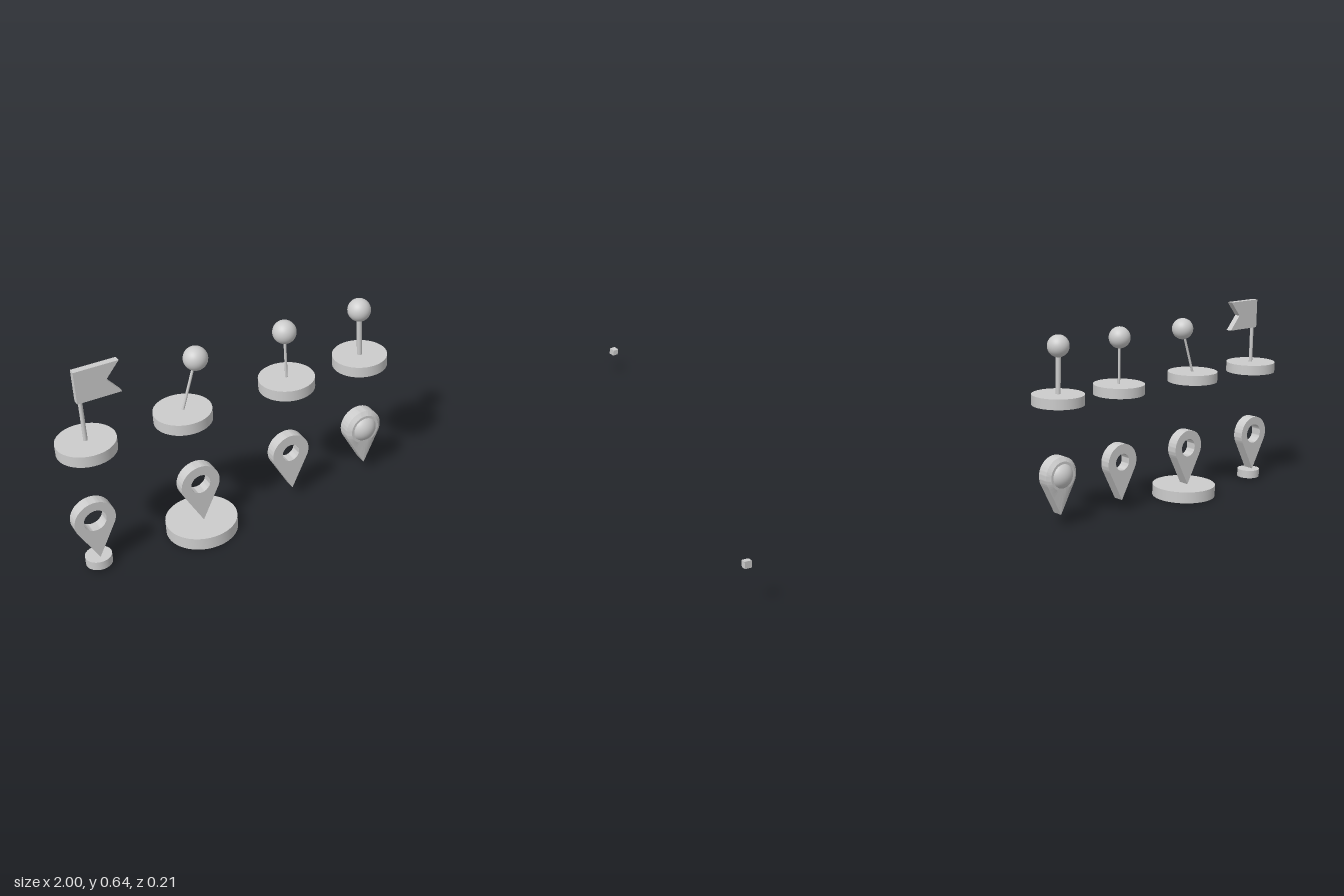
import * as THREE from 'three';
import { toCreasedNormals } from 'three/addons/utils/BufferGeometryUtils.js';

const material = new THREE.MeshStandardMaterial({ color: 0xcccccc });
const HEAD_Y = 0.168, HEAD_R = 0.06, TIP_DROP = 0.128, HALF = 0.018, SEG = 90;

function add(parent, name, geometry, x = 0, y = 0, z = 0) {
  const mesh = new THREE.Mesh(geometry, material);
  mesh.name = name;
  mesh.position.set(x, y, z);
  parent.add(mesh);
  return mesh;
}

function group(parent, name, x) {
  const g = new THREE.Group();
  g.name = name;
  g.position.x = x;
  parent.add(g);
  return g;
}

function disc(parent, name, r, y0, y1) {
  return add(parent, name, new THREE.CylinderGeometry(r, r, y1 - y0, 64), 0, (y0 + y1) / 2);
}

// Round rod between two points in the xy plane
function rod(parent, name, r, x0, y0, x1, y1) {
  const length = Math.hypot(x1 - x0, y1 - y0);
  const mesh = add(parent, name, new THREE.CylinderGeometry(r, r, length, 24), (x0 + x1) / 2, (y0 + y1) / 2);
  mesh.rotation.z = -Math.atan2(x1 - x0, y1 - y0);
}

// Teardrop outline: a circle whose two tangents meet at the tip below
function teardrop(i) {
  const a = -Math.PI / 2 + (i / SEG) * Math.PI * 2;
  const spread = Math.acos(HEAD_R / TIP_DROP);
  const fromTip = Math.min(i, SEG - i) / SEG * Math.PI * 2;
  const r = fromTip < spread ? HEAD_R / Math.cos(spread - fromTip) : HEAD_R;
  return new THREE.Vector2(Math.cos(a) * r, Math.sin(a) * r);
}

const outline = Array.from({ length: SEG }, (_, i) => teardrop(i));

// Flat teardrop plate with a round eye
function ringMarker(parent, holeR) {
  const shape = new THREE.Shape(outline);
  const hole = new THREE.Path();
  hole.absarc(0, 0, holeR, 0, Math.PI * 2, true);
  shape.holes.push(hole);
  const geo = new THREE.ExtrudeGeometry(shape, { depth: HALF * 2, bevelEnabled: false, curveSegments: 32 });
  geo.translate(0, 0, -HALF);
  add(parent, 'marker', toCreasedNormals(geo, 0.6), 0, HEAD_Y);
}

// Solid teardrop whose sides slope up to a raised round face on front and back
function bevelledMarker(parent) {
  const faceR = 0.047, faceZ = 0.028;
  const positions = [], index = [];
  const sections = [[0, faceZ], [faceR, faceZ], [null, HALF], [null, -HALF], [faceR, -faceZ], [0, -faceZ]];
  for (const [r, z] of sections) {
    for (const p of outline) {
      const q = r === null ? p : p.clone().setLength(r);
      positions.push(q.x, q.y, z);
    }
  }
  for (let s = 0; s < sections.length - 1; s++) {
    for (let i = 0; i < SEG; i++) {
      const j = (i + 1) % SEG;
      const a = s * SEG + i, b = s * SEG + j, c = a + SEG, d = b + SEG;
      if (s > 0) index.push(a, c, b);
      if (s < sections.length - 2) index.push(b, c, d);
      if (s === 0) index.push(a, c, d);
      if (s === sections.length - 2) index.push(a, c, b);
    }
  }
  const geo = new THREE.BufferGeometry();
  geo.setAttribute('position', new THREE.Float32BufferAttribute(positions, 3));
  geo.setIndex(index);
  add(parent, 'marker', toCreasedNormals(geo, 0.4), 0, HEAD_Y);
}

export function createModel() {
  const model = new THREE.Group();
  model.name = 'mapPinSet';

  // Upper row: flag on a pole
  const flag = group(model, 'flagPin', -0.917);
  disc(flag, 'base', 0.083, 0.392, 0.425);
  rod(flag, 'pole', 0.006, 0, 0.42, 0, 0.635);
  const banner = new THREE.Shape([
    [-0.011, 0.546], [0.115, 0.546], [0.075, 0.594], [0.115, 0.642], [-0.011, 0.642],
  ].map(([x, y]) => new THREE.Vector2(x, y)));
  add(flag, 'banner', new THREE.ExtrudeGeometry(banner, { depth: 0.02, bevelEnabled: false }), 0, 0, -0.01);

  // Upper row: ball-headed pins, the first one leaning
  for (const [name, x, headX, r] of [
    ['leaningPin', -0.634, 0.052, 0.004],
    ['thinPin', -0.305, 0, 0.004],
    ['thickPin', -0.056, 0, 0.008],
  ]) {
    const pin = group(model, name, x);
    disc(pin, 'base', 0.083, 0.392, 0.425);
    rod(pin, 'stem', r, 0, 0.42, headX, 0.574);
    add(pin, 'head', new THREE.SphereGeometry(0.035, 32, 24), headX, 0.574);
  }

  // Lower row: teardrop markers with an eye
  const small = group(model, 'smallBaseMarker', -0.928);
  ringMarker(small, 0.033);
  disc(small, 'base', 0.038, 0.01, 0.037);

  const wide = group(model, 'wideBaseMarker', -0.607);
  ringMarker(wide, 0.03);
  disc(wide, 'base', 0.106, 0, 0.038);

  ringMarker(group(model, 'plainMarker', -0.31), 0.028);

  // Lower row: bevelled marker with a ball set in it
  const ball = group(model, 'ballMarker', -0.055);
  bevelledMarker(ball);
  add(ball, 'ball', new THREE.SphereGeometry(0.048, 40, 28), 0, HEAD_Y);

  // Small stray cube
  add(model, 'cube', new THREE.BoxGeometry(0.02, 0.02, 0.02), 0.99, 0.11);

  return model;
}
